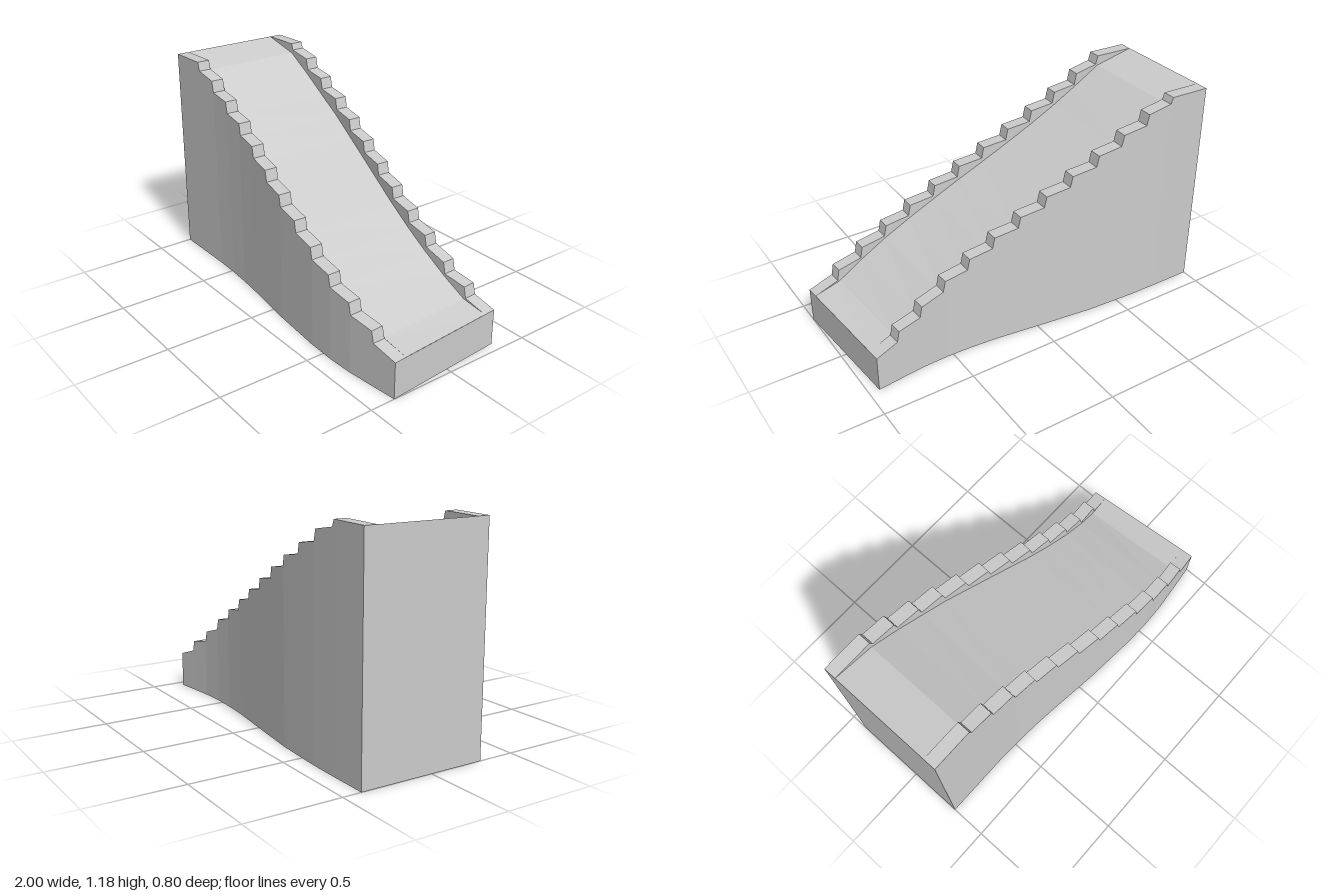
import * as THREE from 'three';

// Piecewise-linear lookup in a short list of [x, value] points
function lookup(points, x) {
  for (let i = 1; i < points.length; i++) {
    const [x0, v0] = points[i - 1], [x1, v1] = points[i];
    if (x <= x1) return v0 + (v1 - v0) * (x - x0) / (x1 - x0);
  }
  return points[points.length - 1][1];
}

// Plan curves of the two outer sides, and the height of the sliding surface
const FRONT_Z = [[-1, 0.302], [-0.6, 0.303], [-0.4, 0.312], [-0.2, 0.333], [0.1, 0.37], [0.4, 0.395], [0.56, 0.4], [0.72, 0.394], [1, 0.363]];
const BACK_Z = [[-1, -0.4], [-0.77, -0.4], [-0.6, -0.398], [-0.32, -0.383], [0, -0.346], [0.25, -0.315], [0.4, -0.304], [0.54, -0.3], [0.7, -0.306], [0.95, -0.335]];
const BED_Y = [[-1, 1.18], [-0.775, 1.13], [-0.45, 0.94], [-0.1, 0.745], [0.25, 0.555], [0.55, 0.39], [0.83, 0.232], [0.975, 0.2]];
const STEPS = 12, RISER = 0.013, WALL = 0.1;

// Cross-section: up the front wall, over the bed, down the back wall
function section(xF, yF, xB, yB) {
  const zF = lookup(FRONT_Z, xF), zB = lookup(BACK_Z, xB);
  const bed = lookup(BED_Y, (xF + xB) / 2);
  const at = (t, y) => new THREE.Vector3(xF + (xB - xF) * t, y, zF + (zB - zF) * t);
  return [at(0, 0), at(0, yF), at(WALL, yF), at(WALL, bed),
    at(1 - WALL, bed), at(1 - WALL, yB), at(1, yB), at(1, 0)];
}

// Two sections per step: the top and the foot of each riser
function makeSections() {
  const rows = [section(-1, 1.18, -1, 1.18)];
  for (let k = 0; k < STEPS; k++) {
    const bow = Math.sin(Math.PI * k / (STEPS - 1));
    const xF = -0.775 + 0.1475 * k - 0.018 * bow;
    const xB = -0.775 + 0.144 * k + 0.02 * bow;
    const yF = k === 0 ? 1.185 : 1.11 - 0.081 * (k - 1) + 0.008 * bow;
    const yB = yF + (k > 0 && k < 10 ? 0.015 : 0);
    const dropF = k === 0 ? 0.048 : 0.062, dropB = k === 0 ? 0.035 : 0.06;
    rows.push(section(xF, yF, xB, yB));
    rows.push(section(xF + RISER, yF - dropF, xB + RISER, yB - dropB));
  }
  rows.push(section(1, 0.2, 0.945, 0.2));
  return rows;
}

function addQuad(out, a, b, c, d) {
  for (const p of [a, b, c, a, c, d]) out.push(p.x, p.y, p.z);
}

export function createModel() {
  const group = new THREE.Group();
  const material = new THREE.MeshStandardMaterial({ color: 0xcccccc, flatShading: true });
  const rows = makeSections();

  const addMesh = (name, positions) => {
    const geometry = new THREE.BufferGeometry();
    geometry.setAttribute('position', new THREE.Float32BufferAttribute(positions, 3));
    geometry.computeVertexNormals();
    const mesh = new THREE.Mesh(geometry, material);
    mesh.name = name;
    group.add(mesh);
  };

  // Skin a run of section edges along the length
  const addSkin = (name, first, last) => {
    const out = [];
    for (let i = 0; i + 1 < rows.length; i++) {
      for (let j = first; j < last; j++) {
        const n = (j + 1) % 8;
        addQuad(out, rows[i][j], rows[i + 1][j], rows[i + 1][n], rows[i][n]);
      }
    }
    addMesh(name, out);
  };
  addSkin('frontSteppedWall', 0, 3);
  addSkin('slideBed', 3, 4);
  addSkin('backSteppedWall', 4, 7);
  addSkin('underside', 7, 8);

  // Tall upper end and short lower end
  const top = rows[0], foot = rows[rows.length - 1];
  const upper = [], lower = [];
  addQuad(upper, top[0], top[1], top[6], top[7]);
  addQuad(lower, foot[7], foot[6], foot[1], foot[0]);
  addMesh('upperEnd', upper);
  addMesh('lowerEnd', lower);
  return group;
}
